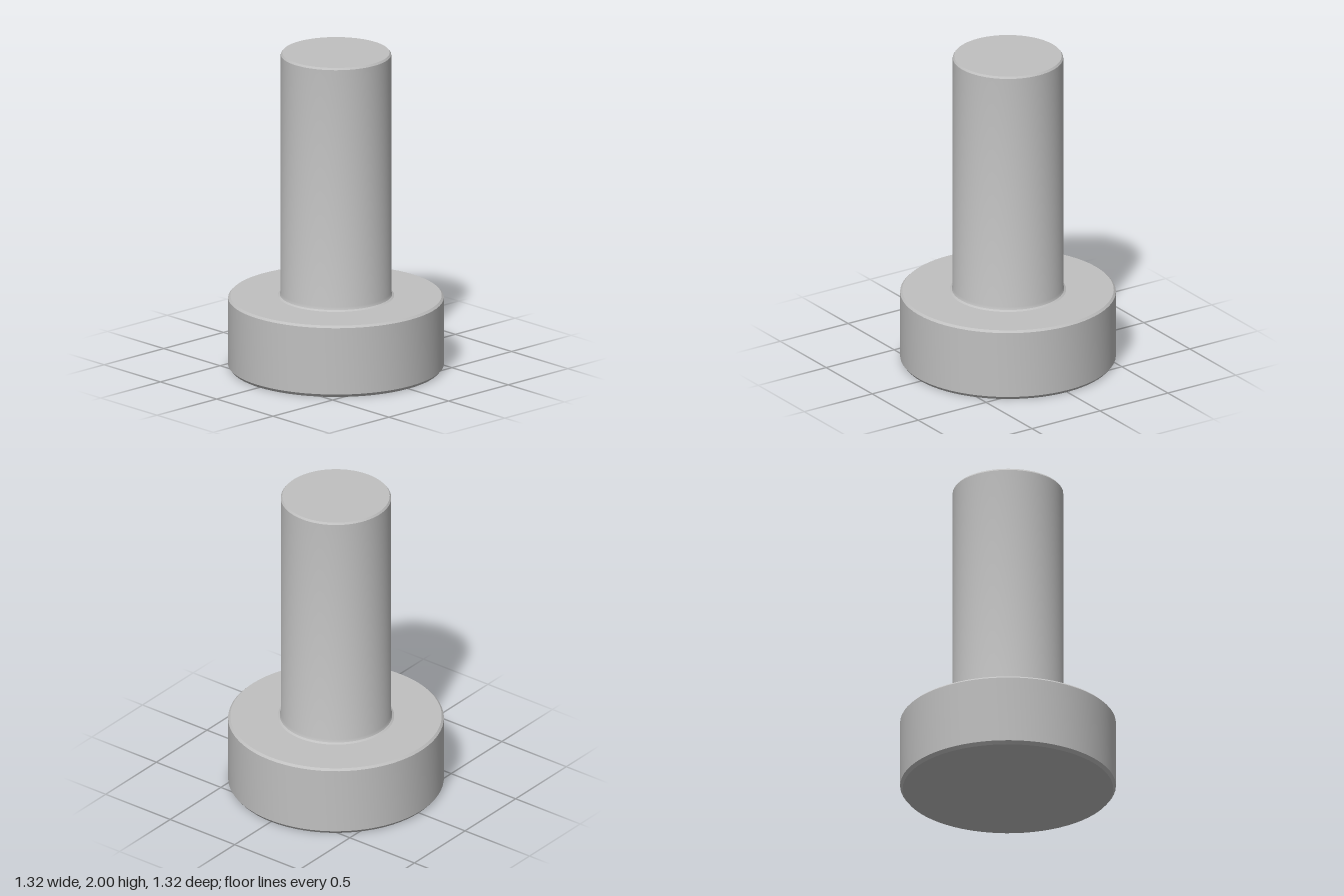
import * as THREE from 'three';
import { toCreasedNormals } from 'three/addons/utils/BufferGeometryUtils.js';

const SEGMENTS = 72;

// Revolve a bottom-to-top [radius, height] profile, keeping its rims crisp
function turned(name, profile, material) {
  const points = profile.map(([r, y]) => new THREE.Vector2(r, y));
  const geometry = toCreasedNormals(new THREE.LatheGeometry(points, SEGMENTS), 0.4);
  const mesh = new THREE.Mesh(geometry, material);
  mesh.name = name;
  return mesh;
}

export function createModel() {
  const group = new THREE.Group();
  group.name = 'headedPin';

  const metal = new THREE.MeshStandardMaterial({ color: 0xc0c0c0 });
  metal.name = 'plain grey';

  // Wide round head with slightly worn rims, open under the shaft
  group.add(turned('head', [
    [0, 0], [0.642, 0], [0.658, 0.02],
    [0.658, 0.442], [0.645, 0.455], [0.355, 0.455],
  ], metal));

  // Shaft with a small fillet at its foot and a flat top
  group.add(turned('shaft', [
    [0.355, 0.455], [0.343, 0.463], [0.337, 0.48],
    [0.337, 1.988], [0.328, 2], [0, 2],
  ], metal));

  return group;
}
